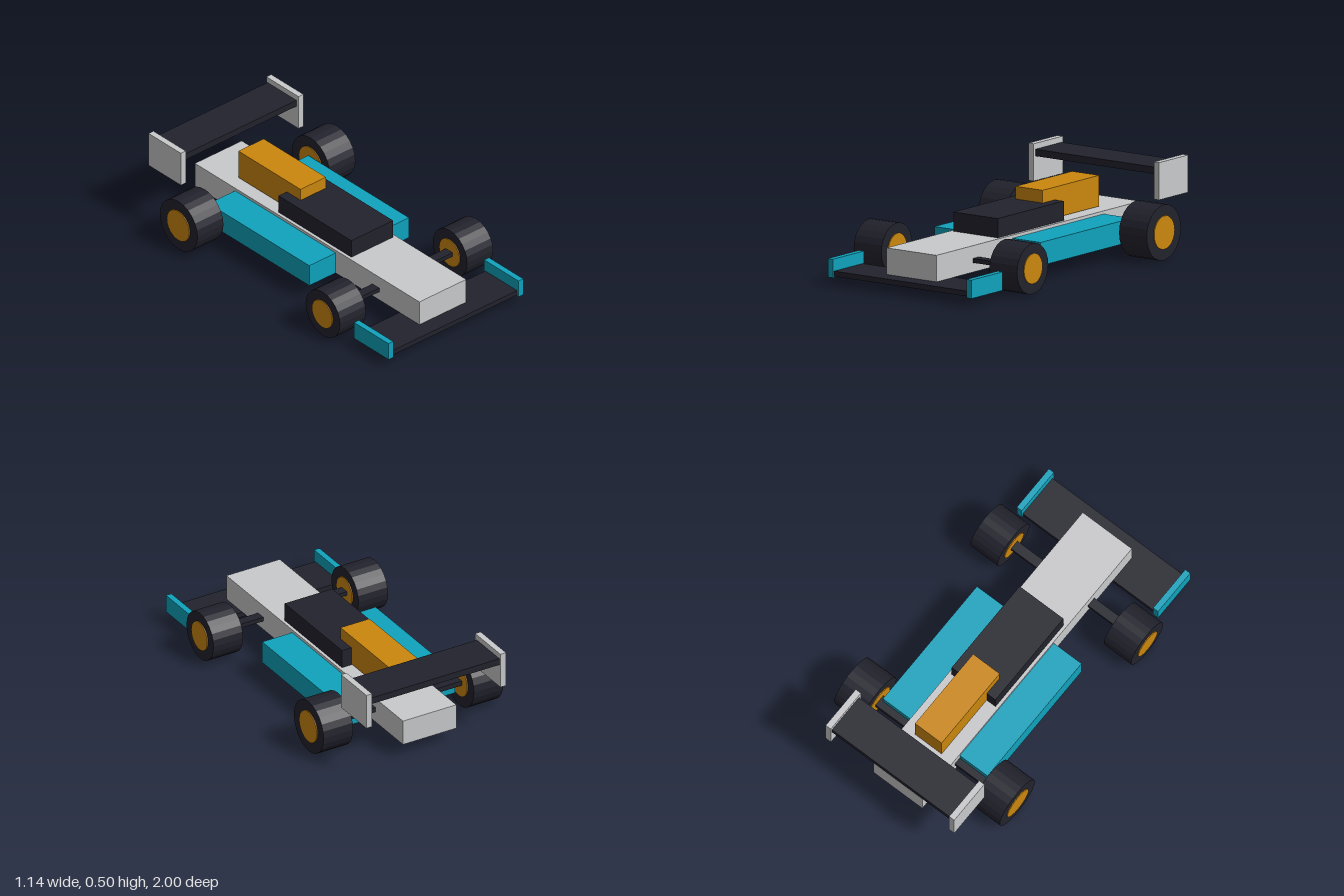
import * as THREE from 'three';

const mat = (name, color) => {
  const m = new THREE.MeshStandardMaterial({ color });
  m.name = name;
  return m;
};

export function createModel() {
  const car = new THREE.Group();
  car.name = 'racingCar';
  const grey = mat('light grey', 0xc9cacc);
  const dark = mat('dark navy', 0x22222d);
  const teal = mat('teal', 0x0fa3bd);
  const orange = mat('orange', 0xcb870e);

  // Box given by its lower and upper limits on each axis
  const box = (name, m, [x0, x1], [y0, y1], [z0, z1]) => {
    const mesh = new THREE.Mesh(new THREE.BoxGeometry(x1 - x0, y1 - y0, z1 - z0), m);
    mesh.position.set((x0 + x1) / 2, (y0 + y1) / 2, (z0 + z1) / 2);
    mesh.name = name;
    car.add(mesh);
  };
  // Mirrored pair of boxes
  const pair = (name, m, [x0, x1], y, z) => {
    box(name + 'Left', m, [x0, x1], y, z);
    box(name + 'Right', m, [-x1, -x0], y, z);
  };

  // Body
  box('chassis', grey, [-0.168, 0.168], [0.078, 0.224], [-0.932, 0.893]);
  box('cockpit', dark, [-0.15, 0.15], [0.22, 0.33], [-0.272, 0.32]);
  box('engineCover', orange, [-0.091, 0.091], [0.23, 0.4], [-0.666, -0.16]);
  pair('sidePod', teal, [0.14, 0.358], [0.079, 0.207], [-0.606, 0.213]);

  // Wings
  box('frontWing', dark, [-0.45, 0.45], [0.048, 0.077], [0.73, 0.988]);
  pair('frontEndplate', teal, [0.45, 0.484], [0.042, 0.144], [0.72, 1]);
  box('rearWing', dark, [-0.405, 0.405], [0.43, 0.468], [-0.99, -0.755]);
  pair('rearEndplate', grey, [0.405, 0.44], [0.295, 0.5], [-1, -0.738]);

  // Axles
  box('frontAxle', dark, [-0.363, 0.363], [0.13, 0.154], [0.511, 0.567]);
  box('rearAxle', dark, [-0.385, 0.385], [0.14, 0.168], [-0.648, -0.58]);

  // Faceted disc lying across the car
  const disc = (name, m, r, width) => {
    const g = new THREE.CylinderGeometry(r, r, width, 24).rotateZ(Math.PI / 2).toNonIndexed();
    g.computeVertexNormals();
    const mesh = new THREE.Mesh(g, m);
    mesh.name = name;
    return mesh;
  };
  // Wheels: tyre with a hub standing slightly proud on both sides
  const wheels = [
    { name: 'front', x: 0.457, z: 0.54, r: 0.14, hub: 0.083, w: 0.186 },
    { name: 'rear', x: 0.474, z: -0.612, r: 0.153, hub: 0.092, w: 0.186 },
  ];
  for (const { name, x, z, r, hub, w } of wheels) {
    for (const side of [1, -1]) {
      const wheel = new THREE.Group();
      wheel.name = name + (side > 0 ? 'WheelLeft' : 'WheelRight');
      wheel.add(disc('tyre', dark, r, w), disc('hub', orange, hub, w + 0.01));
      wheel.position.set(side * x, r, z);
      car.add(wheel);
    }
  }
  return car;
}
